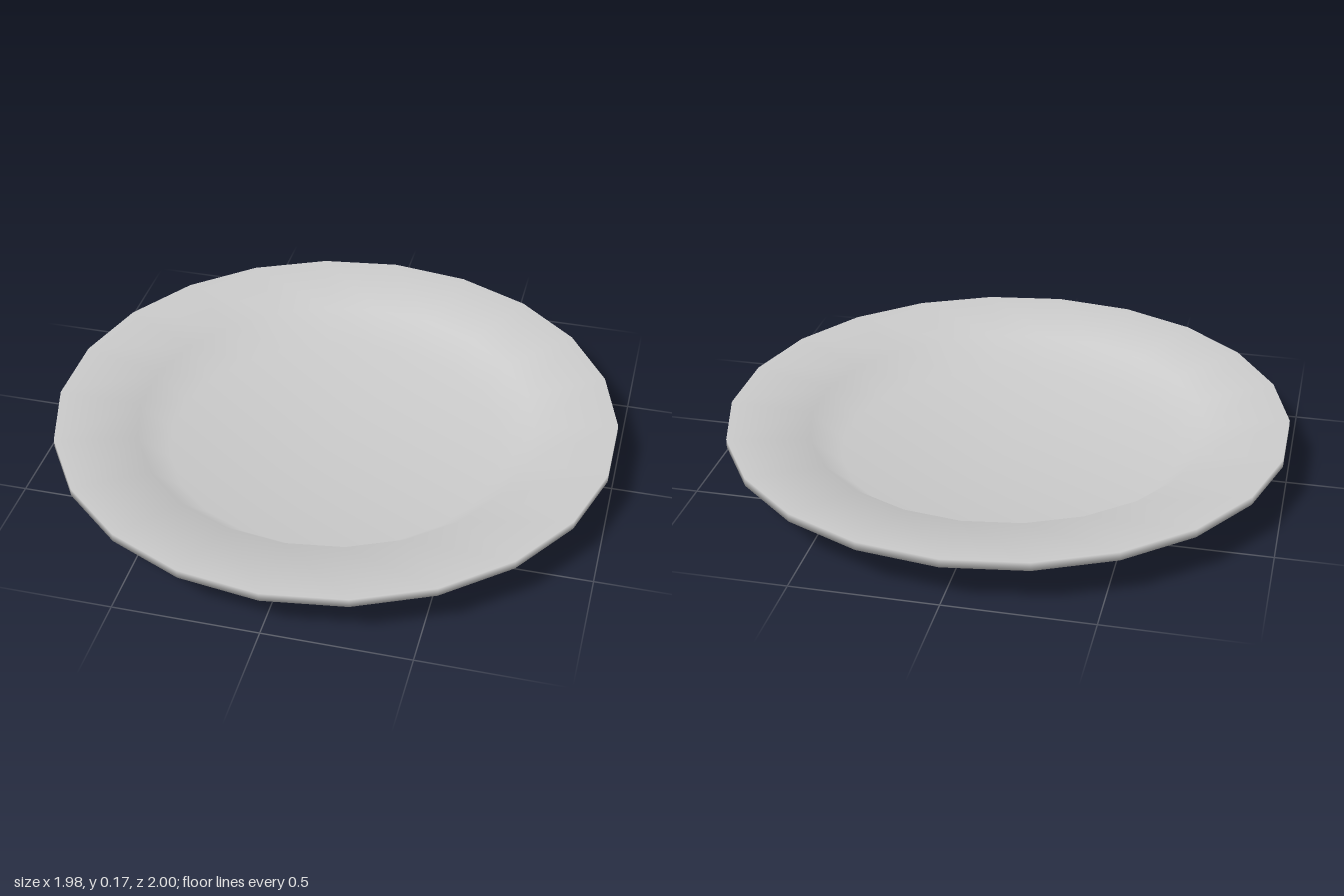
import * as THREE from 'three';

export function createModel() {
  const group = new THREE.Group();
  group.name = 'dish';

  // Cross-section from the centre of the base, around the rim, to the centre of the well
  const profile = [
    [0, 0], [0.54, 0],          // flat base
    [0.74, 0.08], [1, 0.14],    // flared underside
    [1, 0.17],                  // upright rim edge
    [0.71, 0.135],              // broad sloping rim
    [0.6, 0.035], [0, 0.035],   // well wall and floor
  ].map(([r, y]) => new THREE.Vector2(r, y));

  const plate = new THREE.Mesh(
    new THREE.LatheGeometry(profile, 22),
    new THREE.MeshStandardMaterial({ color: 0xcccccc })
  );
  plate.name = 'plate';
  group.add(plate);
  return group;
}
